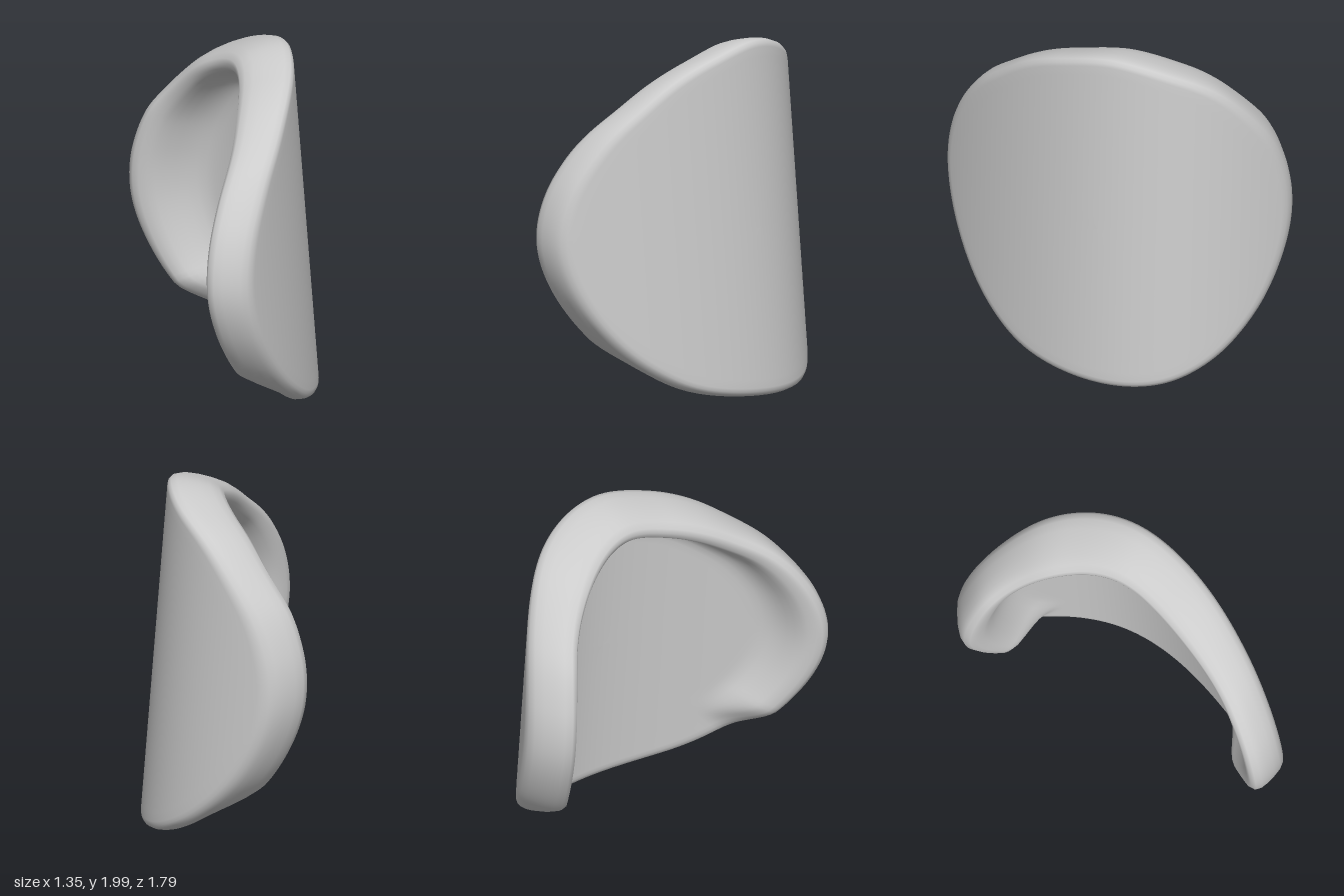
import * as THREE from 'three';

// Plan axes: T runs along the panel's width, N points out of its convex back
const T = new THREE.Vector3(0.585, 0, 0.811);
const N = new THREE.Vector3(0.811, 0, -0.585);

// Outline of the panel as (position along width, height), counter-clockwise
const OUTLINE = [
  [1.03, 0.93], [0.97, 1.22], [0.8, 1.5], [0.61, 1.68], [0.42, 1.82], [0.2, 1.92],
  [-0.15, 2], [-0.49, 1.93], [-0.72, 1.8], [-0.93, 1.5], [-1.02, 1.22], [-1.045, 0.93],
  [-1.01, 0.66], [-0.93, 0.42], [-0.82, 0.25], [-0.68, 0.125], [-0.48, 0.035], [-0.1, 0],
  [0.4, 0.06], [0.64, 0.185], [0.83, 0.37], [0.98, 0.65],
];

// Edge section: [inset from outline, depth of the plain plate, share of the raised rim]
const SECTION = [
  [0.05, 0, 0], [0.03, 0.003, 0], [0.013, 0.013, 0.02], [0.003, 0.033, 0.08],
  [0, 0.057, 0.22], [0, 0.075, 0.45], [0.006, 0.09, 0.68], [0.02, 0.102, 0.86],
  [0.045, 0.11, 0.97], [0.07, 0.11, 1], [0.1, 0.11, 0.97], [0.12, 0.11, 0.88],
  [0.14, 0.11, 0.72], [0.16, 0.11, 0.5], [0.18, 0.11, 0.3], [0.205, 0.11, 0.13],
  [0.235, 0.11, 0.03], [0.27, 0.11, 0],
];

const CENTRE = new THREE.Vector2(-0.08, 0.95);
const FLOOR = 0.11;
const SEGMENTS = 192;
const { smoothstep } = THREE.MathUtils;

// Curved back in plan: distance along N and its slope
const bow = (s) => 0.605 - 0.2 * s - 0.451 * s ** 2 + 0.166 * s ** 3 - 0.087 * s ** 4;
const bowSlope = (s) => -0.2 - 0.902 * s + 0.498 * s ** 2 - 0.348 * s ** 3;

// Point at width s, height y, sunk by depth from the back toward the hollow side
function place(s, y, depth) {
  const p = new THREE.Vector3().addScaledVector(T, s).addScaledVector(N, bow(s));
  const inward = new THREE.Vector3().addScaledVector(T, bowSlope(s)).addScaledVector(N, -1).normalize();
  inward.addScaledVector(N, -1.5 - 0.5 * s).normalize();
  p.addScaledVector(inward, depth);
  // the whole panel leans
  p.x -= 0.06 * (y - 0.95);
  p.z += 0.05 * (y - 0.95);
  p.y = y;
  return p;
}

function panelGeometry() {
  const curve = new THREE.CatmullRomCurve3(OUTLINE.map(([s, y]) => new THREE.Vector3(s, y, 0)), true);
  const outline = curve.getSpacedPoints(SEGMENTS).slice(0, SEGMENTS);

  // Rings: back from the middle outwards, around the edge, then the hollow floor inwards
  const rings = [];
  for (let i = 0; i < 24; i++) rings.push([1 - (i / 24) * 0.94, 0, 0]);
  rings.push(...SECTION);
  for (let i = 1; i <= 18; i++) rings.push([0.27 + 0.73 * (i / 18), FLOOR, 0]);

  const positions = [];
  for (const [inset, plate, rim] of rings) {
    for (const o of outline) {
      // rim is deeper at the top and right end, slopes inwards at the top, fades out along the bottom
      const height = 0.16 + 0.05 * smoothstep(o.y, 1.5, 2) + 0.05 * smoothstep(-o.x, -0.1, 0.7);
      const raised = rim * smoothstep(o.y, 0.17, 0.38);
      const f = 1 - inset - 0.06 * raised * smoothstep(o.y, 1.4, 1.95);
      const s = CENTRE.x + (o.x - CENTRE.x) * f;
      const y = CENTRE.y + (o.y - CENTRE.y) * f;
      positions.push(...place(s, y, plate + height * raised).toArray());
    }
  }

  const index = [];
  for (let i = 0; i < rings.length - 1; i++) {
    for (let j = 0; j < SEGMENTS; j++) {
      const k = (j + 1) % SEGMENTS;
      const a = i * SEGMENTS + j, b = i * SEGMENTS + k;
      const c = a + SEGMENTS, d = b + SEGMENTS;
      // first and last rings close to a point, so they need one triangle per side
      if (i > 0) index.push(a, b, c);
      if (i < rings.length - 2) index.push(b, d, c);
    }
  }

  const geometry = new THREE.BufferGeometry();
  geometry.setAttribute('position', new THREE.Float32BufferAttribute(positions, 3));
  geometry.setIndex(index);
  geometry.computeVertexNormals();

  // Stand on the ground, centred
  geometry.computeBoundingBox();
  const middle = geometry.boundingBox.getCenter(new THREE.Vector3());
  return geometry.translate(-middle.x, -geometry.boundingBox.min.y, -middle.z);
}

export function createModel() {
  const group = new THREE.Group();
  group.name = 'curvedShell';
  const material = new THREE.MeshStandardMaterial({ color: 0xcccccc });
  const panel = new THREE.Mesh(panelGeometry(), material);
  panel.name = 'rimmedPanel';
  group.add(panel);
  return group;
}
